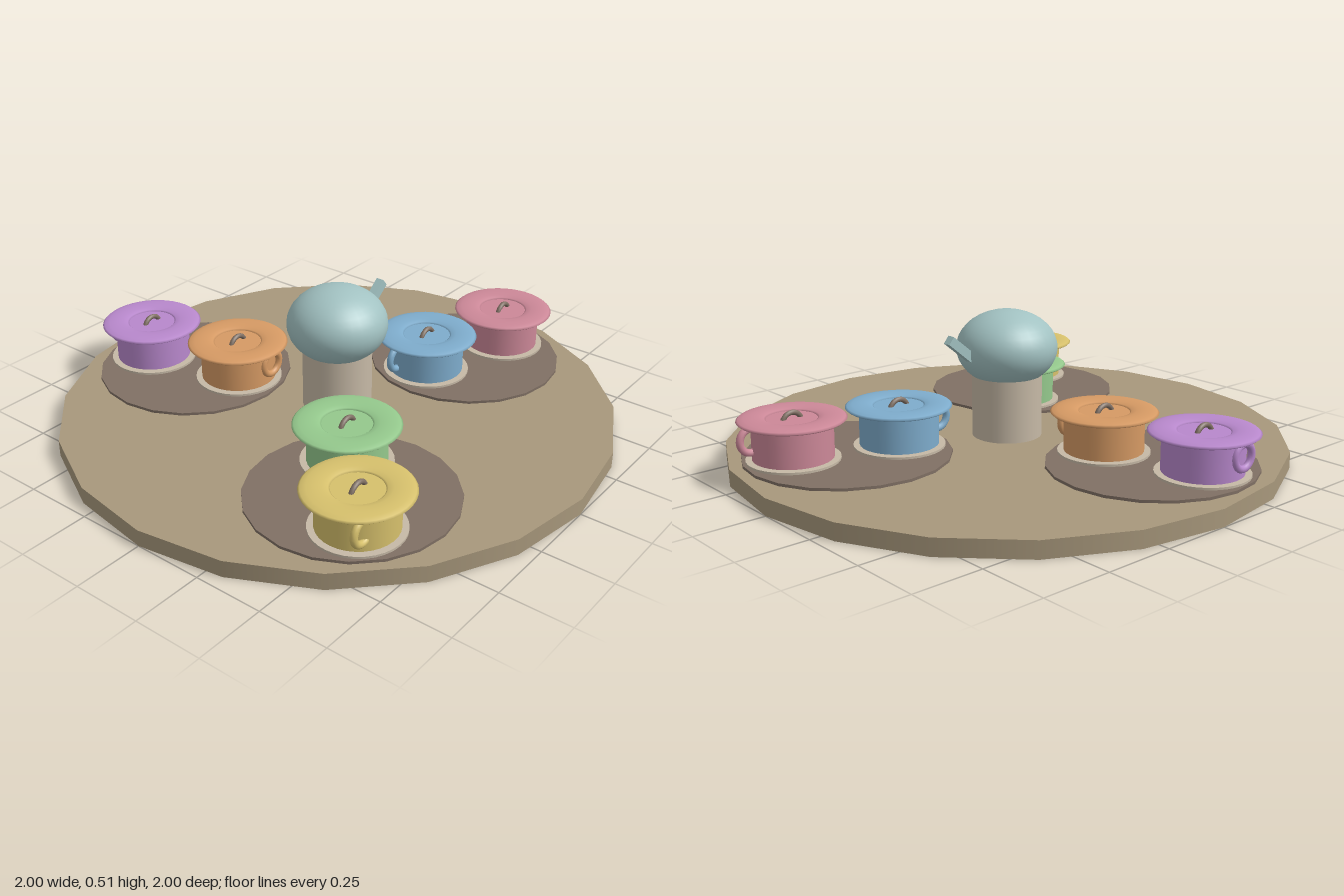
import * as THREE from 'three';

const mat = (name, color) => {
  const m = new THREE.MeshStandardMaterial({ color });
  m.name = name;
  return m;
};

export function createModel() {
  const ride = new THREE.Group();
  ride.name = 'teacupRide';
  const tan = mat('tan', 0xa8987c);
  const brown = mat('brown', 0x807064);
  const cream = mat('cream', 0xc6b9a6);
  const teal = mat('teal', 0xa2c2c2);
  const cupMats = [
    [mat('blue', 0x7eaccc), mat('pink', 0xcc8898)],
    [mat('green', 0x94c88c), mat('yellow', 0xd6c06c)],
    [mat('orange', 0xd69a64), mat('purple', 0xb888cc)],
  ];

  const add = (parent, name, geometry, material, x = 0, y = 0, z = 0) => {
    const mesh = new THREE.Mesh(geometry, material);
    mesh.name = name;
    mesh.position.set(x, y, z);
    parent.add(mesh);
    return mesh;
  };

  // Round floor
  add(ride, 'floor', new THREE.CylinderGeometry(1, 1, 0.06, 20), tan, 0, 0.03, 0);

  // Centre column carrying a squashed teapot with a tilted spout
  add(ride, 'column', new THREE.CylinderGeometry(0.125, 0.125, 0.26, 32), cream, 0, 0.19, 0);
  add(ride, 'teapot', new THREE.SphereGeometry(0.18, 32, 20), teal, 0, 0.38, 0).scale.y = 0.75;
  const spout = add(ride, 'spout', new THREE.BoxGeometry(0.16, 0.032, 0.03), teal, 0.2, 0.395, 0);
  spout.rotation.z = 0.68;

  // Shared cup parts
  const saucerGeo = new THREE.CylinderGeometry(0.16, 0.16, 0.008, 32);
  const bodyGeo = new THREE.CylinderGeometry(0.138, 0.138, 0.135, 32);
  const rimGeo = new THREE.TorusGeometry(0.135, 0.05, 12, 40).rotateX(Math.PI / 2).scale(1, 0.22, 1);
  const handleGeo = new THREE.TorusGeometry(0.042, 0.013, 10, 24);
  const wheelGeo = new THREE.TorusGeometry(0.038, 0.009, 8, 24);

  // Three turntables, each with an inner and an outer cup
  for (let i = 0; i < 3; i++) {
    const angle = 0.3 + (i * Math.PI * 2) / 3;
    const dx = Math.cos(angle), dz = Math.sin(angle);
    add(ride, 'turntable', new THREE.CylinderGeometry(0.36, 0.36, 0.014, 20), brown,
      dx * 0.597, 0.063, dz * 0.597);

    [-1, 1].forEach((side, j) => {
      const r = 0.597 + side * 0.188;
      const paint = cupMats[i][j];
      const cup = new THREE.Group();
      cup.name = 'teacup';
      cup.position.set(dx * r, 0, dz * r);
      ride.add(cup);
      add(cup, 'saucer', saucerGeo, cream, 0, 0.074, 0);
      add(cup, 'cupBody', bodyGeo, paint, 0, 0.1475, 0);
      add(cup, 'rim', rimGeo, paint, 0, 0.214, 0);
      add(cup, 'handle', handleGeo, paint, dx * side * 0.14, 0.155, dz * side * 0.14);
      add(cup, 'steeringWheel', wheelGeo, brown, 0, 0.197, 0);
    });
  }
  return ride;
}
